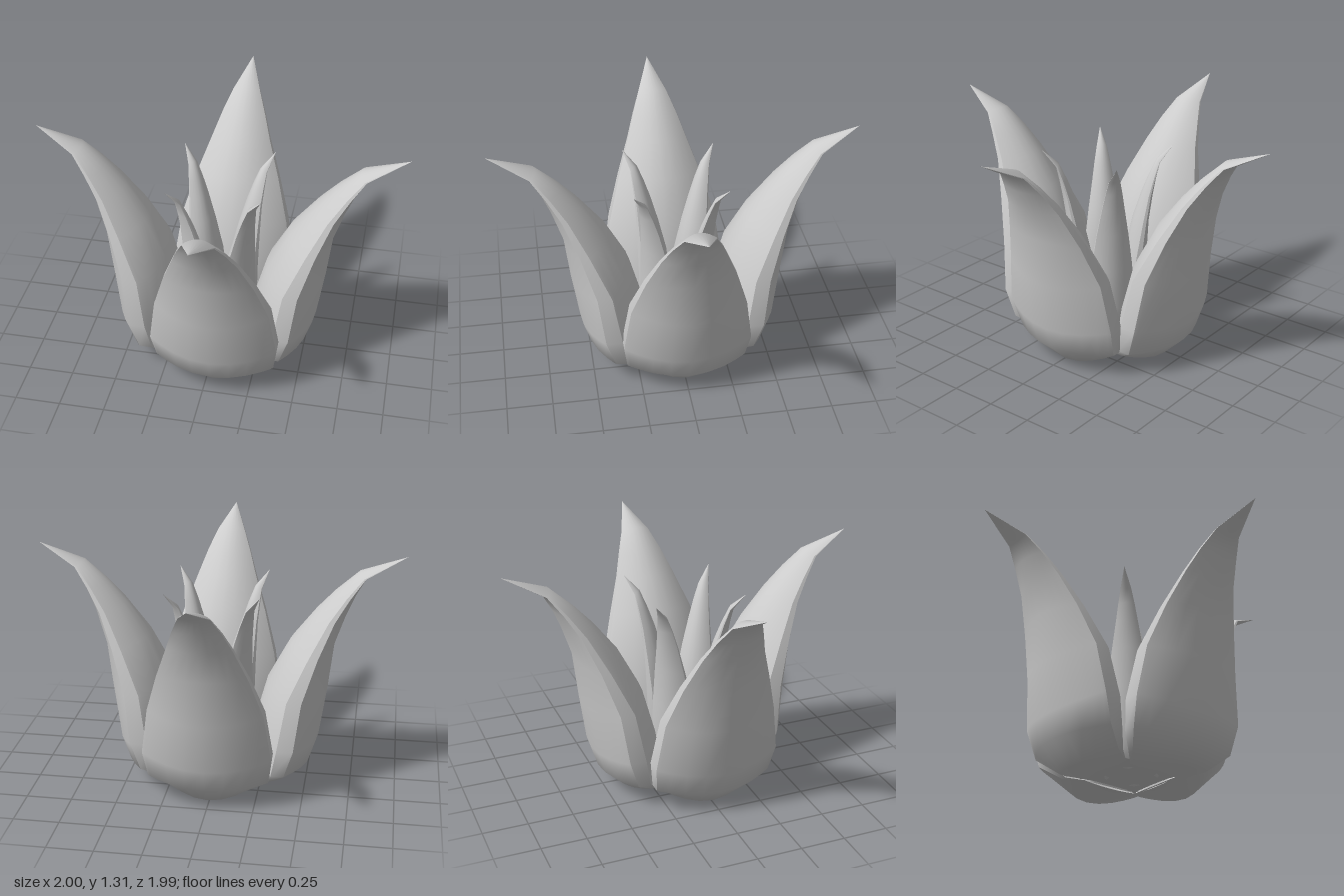
import * as THREE from 'three';

// Stations from base to tip:
// outer radius, outer y, inner radius, inner y, margin radius, margin y, half width, margin thickness
const STATIONS = [
  [0.18, 0.02, 0.18, 0.03, 0.18, 0.03, 0.18, 0.00],
  [0.40, 0.00, 0.17, 0.12, 0.27, 0.05, 0.25, 0.03],
  [0.52, 0.12, 0.18, 0.21, 0.36, 0.13, 0.33, 0.07],
  [0.56, 0.25, 0.20, 0.33, 0.40, 0.29, 0.35, 0.09],
  [0.60, 0.53, 0.27, 0.59, 0.44, 0.56, 0.31, 0.08],
  [0.63, 0.80, 0.39, 0.82, 0.53, 0.79, 0.24, 0.05],
  [0.69, 0.98, 0.52, 0.99, 0.62, 0.98, 0.17, 0.03],
  [0.74, 1.10, 0.62, 1.10, 0.70, 1.10, 0.125, 0.02],
  [0.79, 1.19, 0.75, 1.22, 0.78, 1.20, 0.08, 0.01],
  [1.00, 1.31, 1.00, 1.31, 1.00, 1.31, 0.00, 0.00],
];
const SEGMENTS = 10;

// Smooth surface through equal-length rows of points
function gridGeometry(rows) {
  const n = rows[0].length;
  const index = [];
  for (let j = 0; j < rows.length - 1; j++) {
    for (let i = 0; i < n - 1; i++) {
      const a = j * n + i;
      index.push(a, a + 1, a + n + 1, a, a + n + 1, a + n);
    }
  }
  const geometry = new THREE.BufferGeometry();
  geometry.setAttribute('position', new THREE.Float32BufferAttribute(rows.flat(2), 3));
  geometry.setIndex(index);
  geometry.computeVertexNormals();
  return geometry;
}

// Curved face of a leaf section, from one margin to the other
function arc(centreR, centreY, marginR, marginY, halfWidth, direction) {
  return Array.from({ length: SEGMENTS + 1 }, (_, i) => {
    const s = direction * Math.sin((i / SEGMENTS - 0.5) * Math.PI);
    const k = 1 - s * s;
    return [
      s * halfWidth,
      THREE.MathUtils.lerp(marginY, centreY, k),
      THREE.MathUtils.lerp(marginR, centreR, k),
    ];
  });
}

// Fleshy leaf facing +z: outer face, inner face and two flat margins
function createLeaf(name, material) {
  const outer = [], inner = [], leftMargin = [], rightMargin = [];
  for (const [ro, yo, ri, yi, rm, ym, w, t] of STATIONS) {
    const front = rm + t / 2, back = rm - t / 2;
    outer.push(arc(ro, yo, front, ym, w, 1));
    inner.push(arc(ri, yi, back, ym, w, -1));
    leftMargin.push([[w, ym, front], [w, ym, back]]);
    rightMargin.push([[-w, ym, back], [-w, ym, front]]);
  }
  const leaf = new THREE.Group();
  leaf.name = name;
  const faces = { outerFace: outer, innerFace: inner, leftMargin, rightMargin };
  for (const [part, rows] of Object.entries(faces)) {
    const mesh = new THREE.Mesh(gridGeometry(rows), material);
    mesh.name = part;
    leaf.add(mesh);
  }
  return leaf;
}

export function createModel() {
  const model = new THREE.Group();
  model.name = 'succulentPlant';
  const material = new THREE.MeshStandardMaterial({ color: 0xcccccc, side: THREE.DoubleSide });

  // Large outer leaves, each slightly off centre
  const offsets = [[0.045, -0.01], [0, -0.005], [0.01, 0], [0, 0.012]];
  offsets.forEach(([x, z], i) => {
    const leaf = createLeaf('outerLeaf' + (i + 1), material);
    leaf.rotation.y = i * Math.PI / 2;
    leaf.position.set(x, 0, z);
    model.add(leaf);
  });

  // Slim inner leaves on the diagonals
  for (let i = 0; i < 4; i++) {
    const leaf = createLeaf('innerLeaf' + (i + 1), material);
    leaf.rotation.y = (i + 0.5) * Math.PI / 2;
    leaf.scale.set(0.36, 0.835, 0.36);
    leaf.position.set(0.01, 0.035, 0);
    model.add(leaf);
  }

  // Floor closing the gap between the leaf bases
  const floor = new THREE.Mesh(new THREE.PlaneGeometry(0.4, 0.4), material);
  floor.name = 'baseFloor';
  floor.rotation.x = -Math.PI / 2;
  floor.position.set(0.01, 0.04, 0);
  model.add(floor);

  return model;
}
